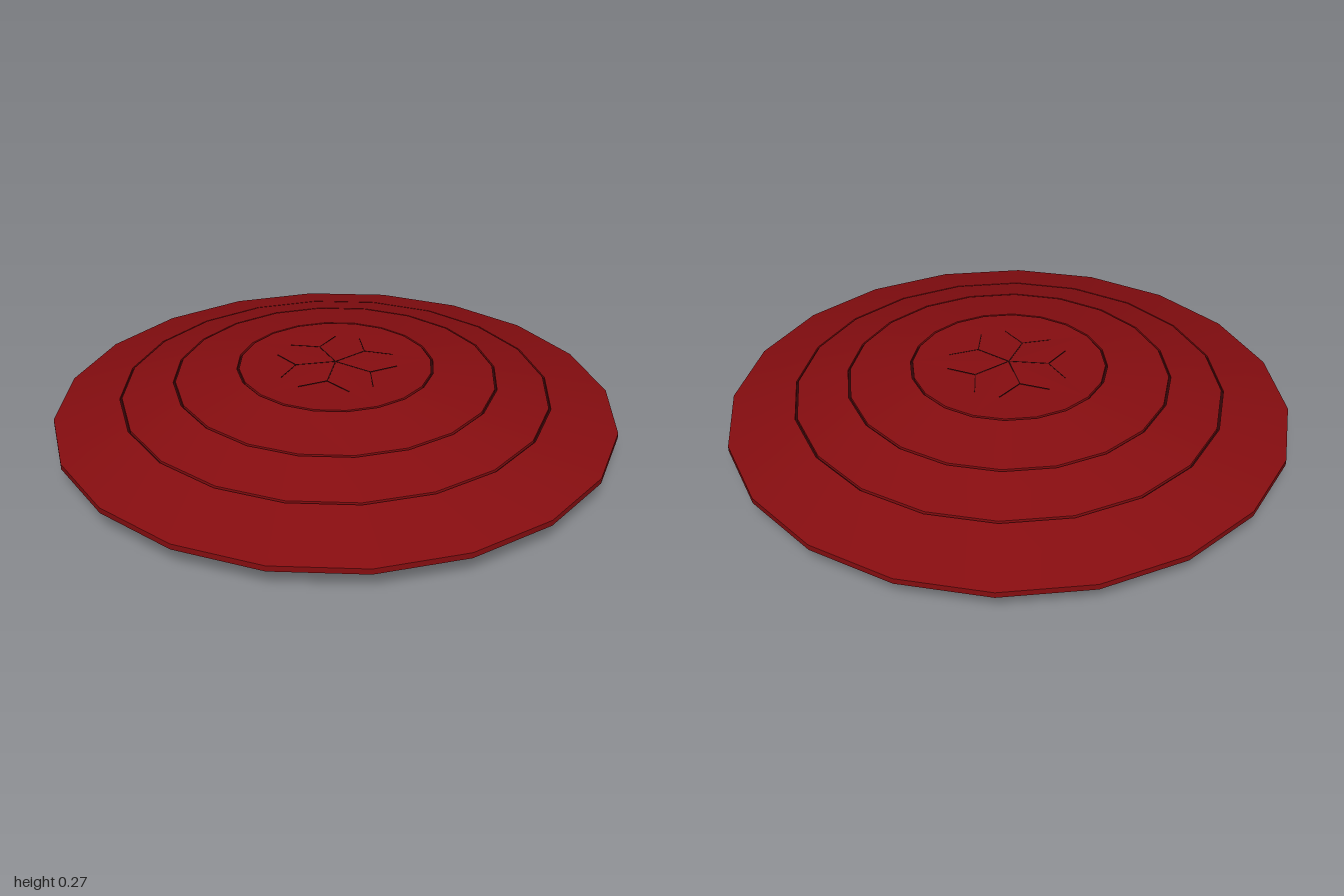
import * as THREE from 'three';
import { toCreasedNormals } from 'three/addons/utils/BufferGeometryUtils.js';

const red = new THREE.MeshStandardMaterial({ color: 0x860d10 });
const seamRed = new THREE.MeshStandardMaterial({ color: 0x300406 });
const black = new THREE.MeshStandardMaterial({ color: 0x111111 });
const grey = new THREE.MeshStandardMaterial({ color: 0xcccccc });
const starRed = red.clone();
starRed.flatShading = true;
starRed.side = THREE.DoubleSide;

const SIDES = 20;
const V2 = (x, y) => new THREE.Vector2(x, y);

// Height of the hollow underside and of the domed top at radius r
const underside = r => 0.135 - 0.077 * Math.max(0, r - 0.35);
const topSide = r => {
  const p = [[0, 0.275], [0.345, 0.27], [0.57, 0.23], [1, 0.105]];
  const i = r < p[1][0] ? 0 : r < p[2][0] ? 1 : 2;
  return THREE.MathUtils.mapLinear(r, p[i][0], p[i + 1][0], p[i][1], p[i + 1][1]);
};
const GROOVES = [0.345, 0.57, 0.76];

function add(parent, name, geometry, material) {
  const mesh = new THREE.Mesh(geometry, material);
  mesh.name = name;
  parent.add(mesh);
  return mesh;
}

// Lathe profile: underside outwards, rim, then the top inwards, with ring grooves
function makeDisc(parent) {
  const w = 0.004, d = 0.012;
  const groove = (r, f, depth, dir) => [
    V2(r - dir * w, f(r - dir * w)), V2(r - dir * w, f(r) + depth),
    V2(r + dir * w, f(r) + depth), V2(r + dir * w, f(r + dir * w))];
  const profile = [
    V2(0, underside(0)),
    ...GROOVES.flatMap(r => groove(r, underside, 0.006, 1)),
    V2(1, 0.085), V2(1, 0.105),
    ...[...GROOVES].reverse().flatMap(r => groove(r, topSide, -d, -1)),
    V2(0, topSide(0))];
  const geo = new THREE.LatheGeometry(profile, SIDES);
  add(parent, 'disc', toCreasedNormals(geo, 0.35), red);

  // Dark floor of each groove
  for (const r of GROOVES) {
    const y = topSide(r) - d + 0.003;
    add(parent, 'ringSeam', new THREE.LatheGeometry([V2(r + w, y), V2(r - w, y)], SIDES), seamRed);
  }
}

// Low faceted five-pointed star on the crown
function makeStar(parent) {
  const centre = new THREE.Vector3(0, 0.28, 0);
  const corners = Array.from({ length: 10 }, (_, i) => {
    const a = i * Math.PI / 5, r = i % 2 ? 0.335 : 0.14;
    return new THREE.Vector3(r * Math.cos(a), i % 2 ? 0.272 : 0.2745, r * Math.sin(a));
  });
  const points = corners.flatMap((p, i) => [centre, corners[(i + 1) % 10], p]);
  const geo = new THREE.BufferGeometry().setFromPoints(points);
  geo.computeVertexNormals();
  add(parent, 'star', geo, starRed);

  // Thin seams along the star's valleys
  const seam = (a, b, width) => {
    const mesh = add(parent, 'starSeam', new THREE.BoxGeometry(width, 0.002, a.distanceTo(b)), seamRed);
    mesh.position.copy(a).lerp(b, 0.5);
    mesh.lookAt(b);
  };
  for (let i = 0; i < 10; i += 2) {
    seam(centre, corners[i], 0.004);
    for (const j of [i + 1, (i + 9) % 10])
      seam(corners[i], corners[i].clone().lerp(corners[j], 0.45), 0.003);
  }
}

// Ribbon following a bowed profile of [along, height] points
function makeStrap(parent, name, pts, width) {
  const curve = new THREE.SplineCurve(pts.map(p => V2(...p))).getPoints(16);
  const t = 0.007;
  const shape = new THREE.Shape([
    ...curve.map(p => V2(p.x, p.y - t)), ...curve.reverse().map(p => V2(p.x, p.y + t))]);
  const geo = new THREE.ExtrudeGeometry(shape, { depth: width, bevelEnabled: false });
  geo.translate(0, 0, -width / 2);
  return add(parent, name, toCreasedNormals(geo, 0.6), black);
}

function box(parent, name, size, pos, material) {
  const mesh = add(parent, name, new THREE.BoxGeometry(...size), material);
  mesh.position.set(...pos);
  return mesh;
}

// Bent mounting plate with a grip strap in the middle and one on each arm
function makeBracket() {
  const bracket = new THREE.Group();
  bracket.name = 'gripBracket';

  const half = [[0.2, 0.56], [0.53, 0.78], [0.67, 0.64], [0.38, 0.4]];
  const outline = [...half, ...half.map(([x, z]) => [-x, z]).reverse()];
  const shape = new THREE.Shape(outline.map(p => V2(...p)));
  for (const s of [1, -1]) {
    const slot = [[0.54, 0.7], [0.575, 0.735], [0.61, 0.7], [0.575, 0.665]];
    shape.holes.push(new THREE.Path(slot.map(([x, z]) => V2(s * x, z))));
  }
  const plate = new THREE.ExtrudeGeometry(shape, { depth: 0.012, bevelEnabled: false });
  plate.rotateX(Math.PI / 2);
  const pos = plate.attributes.position;
  for (let i = 0; i < pos.count; i++)
    pos.setY(i, pos.getY(i) + underside(Math.hypot(pos.getX(i), pos.getZ(i))) - 0.002);
  plate.computeVertexNormals();
  add(bracket, 'plate', plate, grey);

  // Raised rib lines along the inner edge of the plate
  for (const z of [0.42, 0.445])
    box(bracket, 'plateRib', [0.6, 0.01, 0.008], [0, 0.112, z], grey);

  // Centre grip with its buckles
  makeStrap(bracket, 'gripStrap',
    [[-0.22, 0.035], [-0.17, 0.045], [-0.09, 0.036], [0, 0.013], [0.09, 0.036], [0.17, 0.045], [0.22, 0.035]],
    0.1).position.z = 0.525;
  for (const s of [1, -1]) {
    box(bracket, 'gripPost', [0.022, 0.072, 0.1], [s * 0.185, 0.082, 0.53], grey);
    box(bracket, 'gripPad', [0.08, 0.022, 0.08], [s * 0.15, 0.055, 0.525], black);

    // Arm strap, turned to run along the arm
    const arm = new THREE.Group();
    arm.name = 'armStrapSet';
    arm.position.set(s * 0.47, 0, 0.6);
    arm.rotation.y = s > 0 ? -0.65 : Math.PI + 0.65;
    bracket.add(arm);
    makeStrap(arm, 'armStrap',
      [[-0.16, 0.1], [-0.1, 0.082], [0, 0.07], [0.08, 0.065], [0.16, 0.078]], 0.085);
    for (const z of [0.05, -0.05])
      box(arm, 'armBuckle', [0.03, 0.025, 0.012], [0.15, 0.08, z], grey);
    box(arm, 'armBuckleBar', [0.01, 0.012, 0.11], [0.17, 0.079, 0], grey);
    for (const x of [-0.1, 0.1]) {
      const rivet = add(arm, 'rivet', new THREE.CylinderGeometry(0.009, 0.009, 0.01, 8), grey);
      rivet.position.set(x, x < 0 ? 0.074 : 0.06, 0);
    }
  }
  return bracket;
}

export function createModel() {
  const model = new THREE.Group();
  model.name = 'roundShield';
  makeDisc(model);
  makeStar(model);
  for (const turn of [0, Math.PI]) {
    const bracket = makeBracket();
    bracket.rotation.y = turn;
    model.add(bracket);
  }
  return model;
}
